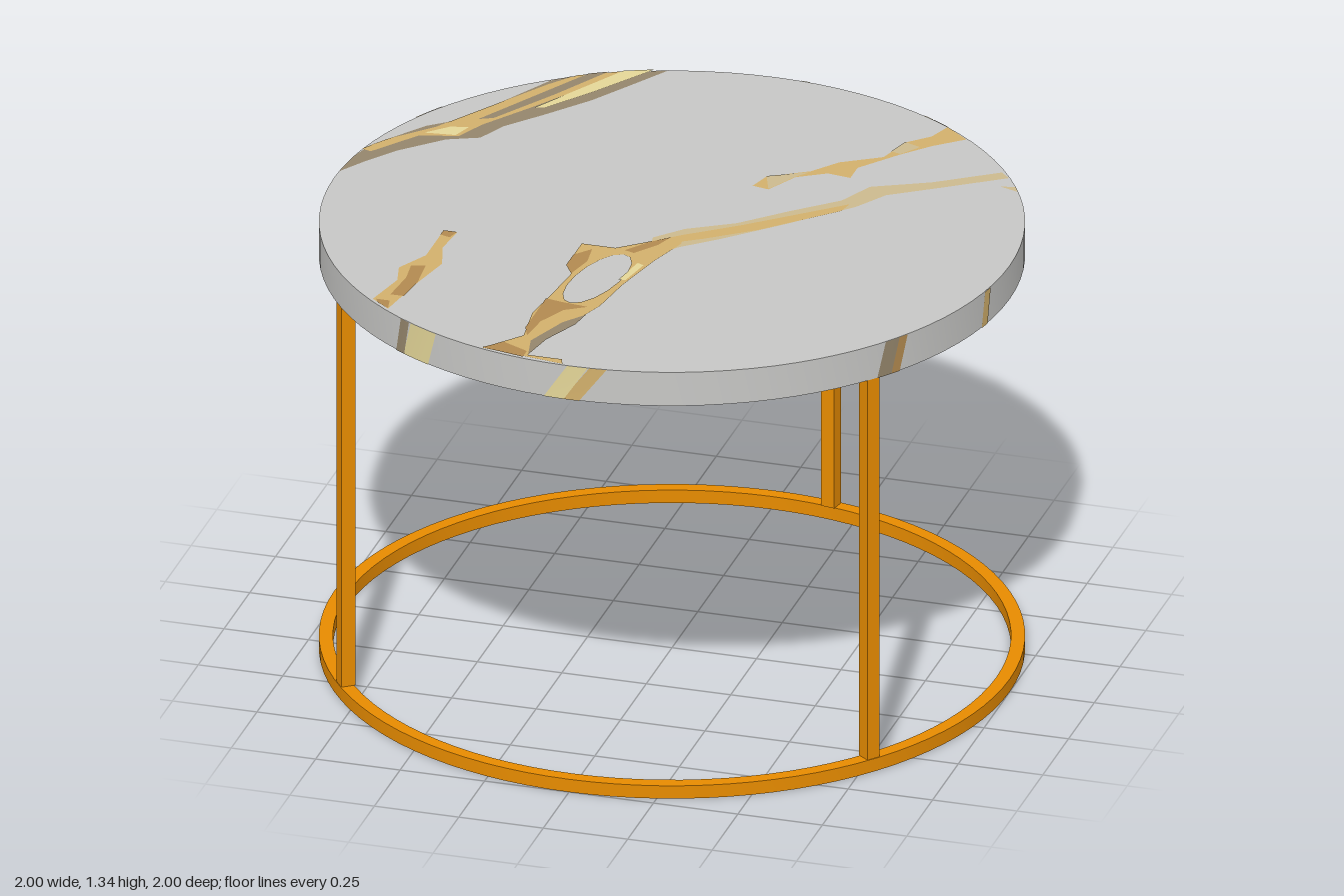
import * as THREE from 'three';
import { toCreasedNormals } from 'three/addons/utils/BufferGeometryUtils.js';

const mat = (name, color) => new THREE.MeshStandardMaterial({ name, color, side: THREE.DoubleSide });

export function createModel() {
  const group = new THREE.Group();
  const stone = mat('grey stone', 0xc7c7c5);
  const metal = mat('golden metal', 0xe88c00);
  const brown = mat('taupe vein', 0x95866c);
  const faint = mat('faint tan vein', 0xccba8e);
  const gold = mat('gold vein', 0xd2b06c);
  const amber = mat('amber vein', 0xb28a50);
  const pale = mat('pale vein', 0xe4d698);
  for (const m of [stone, metal]) m.side = THREE.FrontSide;

  const add = (name, geometry, material) => {
    const mesh = new THREE.Mesh(geometry, material);
    mesh.name = name;
    group.add(mesh);
    return mesh;
  };
  const lathe = (points) => toCreasedNormals(
    new THREE.LatheGeometry(points.map(([r, y]) => new THREE.Vector2(r, y)), 96), 0.6);

  const TOP = 1.335, RIM = 1.23, PANEL = 1.272, INNER = 0.962;

  // Round top with a recessed underside
  add('tableTop', lathe([[0, PANEL], [INNER, PANEL], [INNER, RIM], [1, RIM], [1, TOP], [0, TOP]]), stone);

  // Square-section floor ring
  add('baseRing', lathe([[0.96, 0.04], [0.96, 0], [1, 0], [1, 0.04], [0.96, 0.04]]), metal);

  // Three square legs standing on the ring, turned to face outward
  for (const [x, z] of [[0.768, 0.603], [-0.79, 0.575], [0.178, -0.96]]) {
    const leg = add('leg', new THREE.BoxGeometry(0.042, RIM - 0.04, 0.042), metal);
    leg.position.set(x, (RIM + 0.04) / 2, z);
    leg.rotation.y = Math.atan2(x, z);
  }

  // Flat veins, outlined in x and z; later layers lie over earlier ones
  const veinShape = (outline, limit, sign, hole) => {
    const pts = (list) => list.map(([x, z]) => {
      const k = Math.min(1, limit / Math.hypot(x, z));
      return new THREE.Vector2(x * k, sign * z * k);
    });
    const shape = new THREE.Shape(pts(outline));
    if (hole) shape.holes.push(new THREE.Path(pts(hole)));
    return new THREE.ShapeGeometry(shape);
  };
  const vein = (name, material, layer, outline, hole) => add(name, veinShape(outline, 0.999, -1, hole)
    .rotateX(-Math.PI / 2).translate(0, TOP + 0.0015 * layer, 0), material);
  const underVein = (name, material, layer, outline) => add(name, veinShape(outline, INNER, 1)
    .rotateX(Math.PI / 2).translate(0, PANEL - 0.0015 * layer, 0), material);

  // Corner vein
  vein('cornerVein', brown, 1, [[-1, -0.04], [-0.99, -0.15], [-0.96, -0.24], [-0.85, -0.4], [-0.79, -0.45],
    [-0.7, -0.6], [-0.6, -0.79], [-0.56, -0.84], [-0.3, -0.955], [-0.36, -0.85], [-0.45, -0.7], [-0.55, -0.57],
    [-0.64, -0.46], [-0.68, -0.37], [-0.77, -0.33], [-0.88, -0.22], [-0.95, -0.12]]);
  vein('cornerVeinGold', gold, 2, [[-0.98, -0.2], [-0.93, -0.28], [-0.82, -0.4], [-0.71, -0.58], [-0.6, -0.76],
    [-0.54, -0.845], [-0.42, -0.91], [-0.5, -0.76], [-0.6, -0.6], [-0.7, -0.45], [-0.74, -0.36], [-0.85, -0.33],
    [-0.95, -0.19]]);
  vein('cornerVeinStreak', brown, 3, [[-0.51, -0.86], [-0.46, -0.89], [-0.56, -0.7], [-0.68, -0.5], [-0.72, -0.48]]);
  vein('cornerVeinPale', pale, 3, [[-0.34, -0.945], [-0.42, -0.907], [-0.49, -0.78], [-0.59, -0.6], [-0.56, -0.61],
    [-0.46, -0.75]]);
  vein('cornerVeinSpot', pale, 3, [[-0.84, -0.35], [-0.78, -0.41], [-0.73, -0.42], [-0.75, -0.36]]);

  // Long central vein that splits around an island
  vein('longVeinFaint', faint, 1, [[0.8, -0.58], [0.83, -0.55], [0.66, -0.43], [0.53, -0.34], [0.47, -0.24],
    [0.3, -0.06], [0.17, 0.07], [0.07, 0.16], [0, 0.25], [-0.02, 0.12], [0.05, 0.04], [0.18, -0.04], [0.3, -0.16],
    [0.42, -0.27], [0.47, -0.38], [0.63, -0.46]]);
  const island = Array.from({ length: 16 }, (_, i) => {
    const a = i * Math.PI / 8;
    return [-0.09 + 0.065 * Math.cos(a) - 0.025 * Math.sin(a), 0.43 + 0.175 * Math.sin(a)];
  });
  vein('longVein', gold, 2, [[0.06, 0.08], [-0.03, 0.16], [-0.1, 0.22], [-0.2, 0.22], [-0.2, 0.37], [-0.17, 0.42],
    [-0.185, 0.58], [-0.2, 0.7], [-0.18, 0.85], [-0.27, 0.965], [-0.02, 1], [-0.03, 0.97], [-0.13, 0.97],
    [-0.13, 0.86], [-0.07, 0.72], [-0.03, 0.6], [-0.01, 0.45], [0.03, 0.27], [0.07, 0.14]], island);
  vein('longVeinStreak', gold, 2, [[0.45, -0.25], [0.44, -0.2], [0.25, -0.01], [0.12, 0.09], [0.06, 0.13],
    [0.06, 0.08], [0.2, -0.03]]);
  vein('longVeinDarkSide', amber, 3, [[-0.2, 0.3], [-0.16, 0.25], [-0.15, 0.33], [-0.17, 0.42], [-0.2, 0.37]]);
  vein('longVeinDarkFork', amber, 3, [[0.03, 0.11], [-0.02, 0.16], [-0.07, 0.23], [-0.04, 0.24], [0.01, 0.17]]);
  vein('longVeinDarkStem', amber, 3, [[-0.19, 0.6], [-0.14, 0.61], [-0.06, 0.62], [-0.12, 0.66], [-0.16, 0.75],
    [-0.17, 0.85], [-0.19, 0.8]]);
  vein('longVeinTaupe', brown, 3, [[-0.05, 0.67], [-0.1, 0.74], [-0.15, 0.88], [-0.13, 0.97], [-0.11, 0.86],
    [-0.06, 0.74]]);
  vein('longVeinFoot', amber, 3, [[-0.22, 0.91], [-0.27, 0.965], [-0.14, 0.99], [-0.14, 0.95]]);
  vein('longVeinPale', pale, 3, [[-0.01, 0.3], [0.01, 0.31], [-0.01, 0.42], [-0.03, 0.42]]);

  // Short back vein, side speck and small front vein
  vein('backVein', gold, 1, [[0.57, -0.83], [0.64, -0.76], [0.56, -0.69], [0.49, -0.61], [0.4, -0.49], [0.4, -0.42],
    [0.33, -0.43], [0.25, -0.38], [0.2, -0.28], [0.15, -0.29], [0.17, -0.36], [0.28, -0.43], [0.34, -0.51],
    [0.45, -0.58], [0.48, -0.69], [0.54, -0.75]]);
  vein('backVeinNeck', faint, 2, [[0.48, -0.69], [0.53, -0.67], [0.49, -0.61], [0.46, -0.62]]);
  vein('backVeinTail', faint, 2, [[0.17, -0.36], [0.28, -0.42], [0.25, -0.38], [0.2, -0.28]]);
  vein('sideSpeck', faint, 1, [[0.82, -0.49], [0.87, -0.5], [0.88, -0.47]]);
  vein('frontVein', gold, 1, [[-0.6, 0.25], [-0.56, 0.25], [-0.57, 0.36], [-0.54, 0.46], [-0.57, 0.6], [-0.6, 0.79],
    [-0.66, 0.74], [-0.63, 0.6], [-0.65, 0.52], [-0.6, 0.42]]);
  vein('frontVeinTip', amber, 2, [[-0.6, 0.25], [-0.56, 0.25], [-0.57, 0.29], [-0.6, 0.28]]);
  vein('frontVeinDark', amber, 2, [[-0.62, 0.5], [-0.58, 0.49], [-0.57, 0.6], [-0.58, 0.7], [-0.62, 0.7],
    [-0.61, 0.58]]);
  vein('frontVeinFoot', amber, 2, [[-0.65, 0.74], [-0.61, 0.74], [-0.6, 0.79], [-0.64, 0.76]]);

  // Veins of the underside
  underVein('underBroadVein', gold, 1, [[0.95, -0.15], [0.79, -0.46], [0.58, -0.56], [0.26, -0.54], [-0.21, -0.68],
    [-0.2, -0.64], [0.1, -0.48], [0.43, -0.34], [0.88, -0.1]]);
  underVein('underBroadVeinDark', brown, 2, [[0.77, -0.45], [0.6, -0.54], [0.48, -0.5], [0.6, -0.42], [0.7, -0.36]]);
  underVein('underLongVein', faint, 1, [[0.95, 0.31], [0.14, -0.23], [-0.71, -0.73], [-0.74, -0.67], [-0.3, -0.41],
    [0.12, -0.17], [0.93, 0.36]]);
  underVein('underForkVein', amber, 2, [[-0.37, -0.15], [-0.42, -0.25], [-0.55, -0.47], [-0.7, -0.7],
    [-0.74, -0.64], [-0.58, -0.42], [-0.42, -0.16]]);
  underVein('underShortVein', gold, 1, [[0.5, 0.85], [0.4, 0.9], [0.3, 0.7], [0.2, 0.47], [0.26, 0.5], [0.4, 0.7]]);

  // Slanted veins wrapped round the edge and inside the rim: [centre angle, width, slant, colour]
  const edgeVeins = (name, radius, low, high, list) => {
    for (const [angle, width, slant, material] of list) {
      const strip = new THREE.PlaneGeometry(width, high - low, 4, 1);
      const p = strip.attributes.position;
      for (let i = 0; i < p.count; i++) {
        const a = angle + p.getX(i) + slant * p.getY(i) / (high - low);
        p.setXYZ(i, radius * Math.sin(a), (high + low) / 2 + p.getY(i), radius * Math.cos(a));
      }
      strip.computeVertexNormals();
      add(name, strip, material);
    }
  };
  edgeVeins('edgeVein', 1.002, RIM, TOP, [
    [-0.57, 0.035, 0.02, brown], [-0.5, 0.1, 0.03, pale],
    [-0.01, 0.06, 0.07, pale], [0.045, 0.05, 0.08, gold],
    [0.955, 0.05, 0.03, brown], [0.995, 0.03, 0.03, amber], [1.39, 0.035, 0.02, gold],
    [2.56, 0.06, 0.03, brown], [2.61, 0.035, 0.03, gold], [3.04, 0.03, 0.02, pale],
    [-2.12, 0.07, 0.03, brown], [-2.07, 0.035, 0.03, gold],
  ]);
  edgeVeins('innerRimVein', INNER - 0.003, RIM, PANEL, [
    [-0.59, 0.05, 0.02, pale], [-0.15, 0.05, 0.03, gold], [-1.31, 0.04, 0.02, pale],
  ]);

  return group;
}
